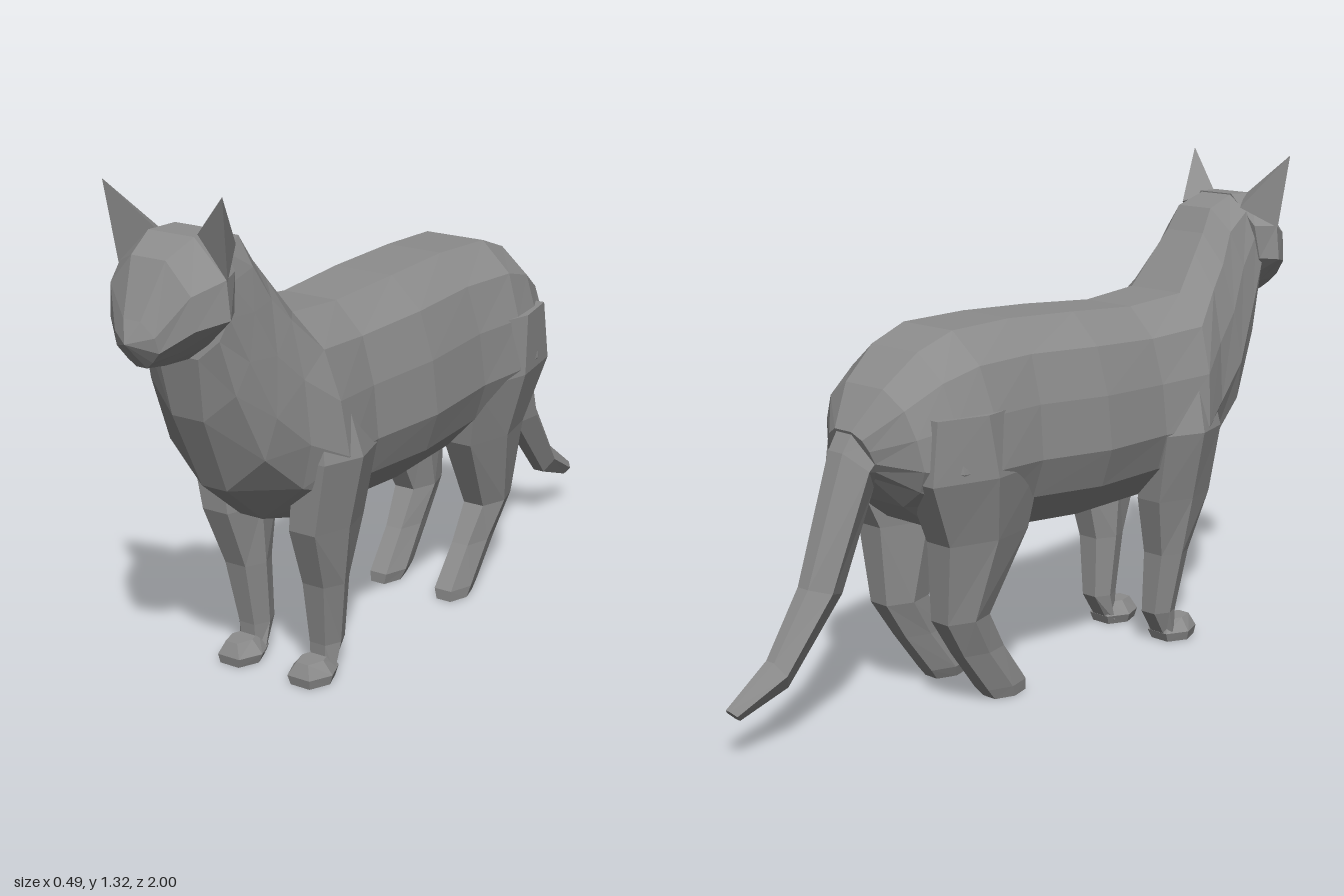
import * as THREE from 'three';

const V = (x, y, z) => new THREE.Vector3(x, y, z);

// Faceted skin over a list of equal-sized rings, closed at both ends by a fan to an apex
function loft(rings, startApex, endApex) {
  const tris = [];
  const n = rings[0].length;
  const centre = (r) => r.reduce((a, p) => a.add(p), V(0, 0, 0)).divideScalar(n);
  const first = rings[0], last = rings[rings.length - 1];
  const a = startApex || centre(first), b = endApex || centre(last);
  for (let j = 0; j < n; j++) {
    const k = (j + 1) % n;
    tris.push([a, first[k], first[j]], [b, last[j], last[k]]);
    for (let i = 0; i < rings.length - 1; i++) {
      const p = rings[i], q = rings[i + 1];
      tris.push([p[j], p[k], q[k]], [p[j], q[k], q[j]]);
    }
  }
  // turn every face outward
  const volume = tris.reduce((s, t) => s + t[0].dot(t[1].clone().cross(t[2])), 0);
  const points = tris.flatMap((t) => (volume < 0 ? [t[0], t[2], t[1]] : t));
  const geo = new THREE.BufferGeometry().setFromPoints(points);
  geo.computeVertexNormals();
  return geo;
}

// Symmetric ring from [topZ, topY, bottomZ, bottomY, halfWidth, keel];
// profile lists [fraction from top to bottom, fraction of half width]
function slice([tz, ty, bz, by, w, keel = 1], profile) {
  const half = profile.map(([t, f], i) => V(
    w * f * (i === profile.length - 1 ? keel : 1),
    ty + (by - ty) * t,
    tz + (bz - tz) * t
  ));
  const mirrored = half.map((p) => V(-p.x, p.y, p.z)).reverse();
  return [...half, ...mirrored];
}

// Horizontal six-sided ring of a leg from [y, frontZ, backZ, innerX, outerX]
function legRing([y, zf, zb, xi, xo], side) {
  const xm = (xi + xo) / 2, d = zf - zb, q = (xo - xi) * 0.28;
  return [
    [xm + q, zf], [xo, zf - d * 0.5], [xm + q, zb],
    [xm - q, zb], [xi, zf - d * 0.5], [xm - q, zf],
  ].map(([x, z]) => V(x * side, y, z));
}

const BODY_PROFILE = [[0, 0.38], [0.15, 0.76], [0.38, 0.93], [0.64, 1], [0.83, 0.85], [1, 0.45]];
const HEAD_PROFILE = [[0, 0.4], [0.3, 0.94], [0.62, 1], [0.85, 0.6], [1, 0.25]];
const TAIL_PROFILE = [[0, 0.35], [0.45, 1], [1, 0.4]];

// Rump to throat
const BODY = [
  [-0.63, 0.75, -0.58, 0.63, 0.08],
  [-0.56, 0.85, -0.51, 0.55, 0.18],
  [-0.46, 0.93, -0.42, 0.48, 0.22],
  [-0.35, 0.97, -0.30, 0.45, 0.235],
  [-0.15, 0.975, -0.17, 0.44, 0.22],
  [0.08, 0.965, 0.08, 0.425, 0.23],
  [0.31, 0.95, 0.32, 0.43, 0.21],
  [0.50, 0.965, 0.45, 0.425, 0.232, 0.7],
  [0.58, 1.065, 0.56, 0.445, 0.19, 0.4],
  [0.62, 1.115, 0.70, 0.56, 0.17, 0.5],
  [0.66, 1.18, 0.79, 0.76, 0.15, 0.7],
  [0.75, 1.21, 0.82, 0.92, 0.135],
];

// Back of skull to muzzle
const HEAD = [
  [0.75, 1.213, 0.80, 0.928, 0.138],
  [0.83, 1.21, 0.83, 0.922, 0.167],
  [0.91, 1.17, 0.90, 0.922, 0.125],
  [0.972, 1.04, 0.945, 0.924, 0.062],
];

// Root to tip
const TAIL = [
  [-0.57, 0.83, -0.50, 0.63, 0.09],
  [-0.655, 0.70, -0.56, 0.60, 0.075],
  [-0.765, 0.38, -0.66, 0.35, 0.055],
  [-0.87, 0.22, -0.83, 0.15, 0.042],
  [-1.0, 0.13, -0.97, 0.10, 0.02],
];

const FRONT_LEG = [
  [0.72, 0.52, 0.36, 0.10, 0.215],
  [0.61, 0.54, 0.32, 0.08, 0.245],
  [0.42, 0.535, 0.33, 0.065, 0.205],
  [0.26, 0.475, 0.365, 0.065, 0.18],
  [0.09, 0.445, 0.36, 0.07, 0.155],
  [0.01, 0.44, 0.41, 0.07, 0.15],
];

const FRONT_PAW = [
  [0.06, 0.51, 0.42, 0.08, 0.145],
  [0.025, 0.525, 0.40, 0.05, 0.172],
  [0, 0.52, 0.41, 0.06, 0.165],
];

const HIND_LEG = [
  [0.78, -0.22, -0.50, 0.08, 0.23],
  [0.62, -0.15, -0.52, 0.06, 0.24],
  [0.45, -0.17, -0.44, 0.055, 0.205],
  [0.24, -0.28, -0.425, 0.06, 0.17],
  [0.14, -0.22, -0.36, 0.065, 0.155],
  [0.03, -0.14, -0.275, 0.06, 0.155],
  [0, -0.14, -0.25, 0.07, 0.15],
];

export function createModel() {
  const group = new THREE.Group();
  const fur = new THREE.MeshStandardMaterial({ color: 0x8c8c8c });
  fur.name = 'grey fur';

  const add = (name, geo) => {
    const mesh = new THREE.Mesh(geo, fur);
    mesh.name = name;
    group.add(mesh);
  };

  add('body', loft(BODY.map((s) => slice(s, BODY_PROFILE))));
  add('head', loft(HEAD.map((s) => slice(s, HEAD_PROFILE)), null, V(0, 0.99, 1)));
  add('tail', loft(TAIL.map((s) => slice(s, TAIL_PROFILE))));

  // Paired parts
  for (const [label, s] of [['left', 1], ['right', -1]]) {
    add(label + 'FrontLeg', loft(FRONT_LEG.map((r) => legRing(r, s))));
    add(label + 'FrontPaw', loft(FRONT_PAW.map((r) => legRing(r, s))));
    add(label + 'HindLeg', loft(HIND_LEG.map((r) => legRing(r, s))));
    const earBase = [V(s * 0.055, 1.205, 0.81), V(s * 0.16, 1.12, 0.83), V(s * 0.105, 1.18, 0.73)];
    add(label + 'Ear', loft([earBase], null, V(s * 0.174, 1.32, 0.86)));
  }
  return group;
}
